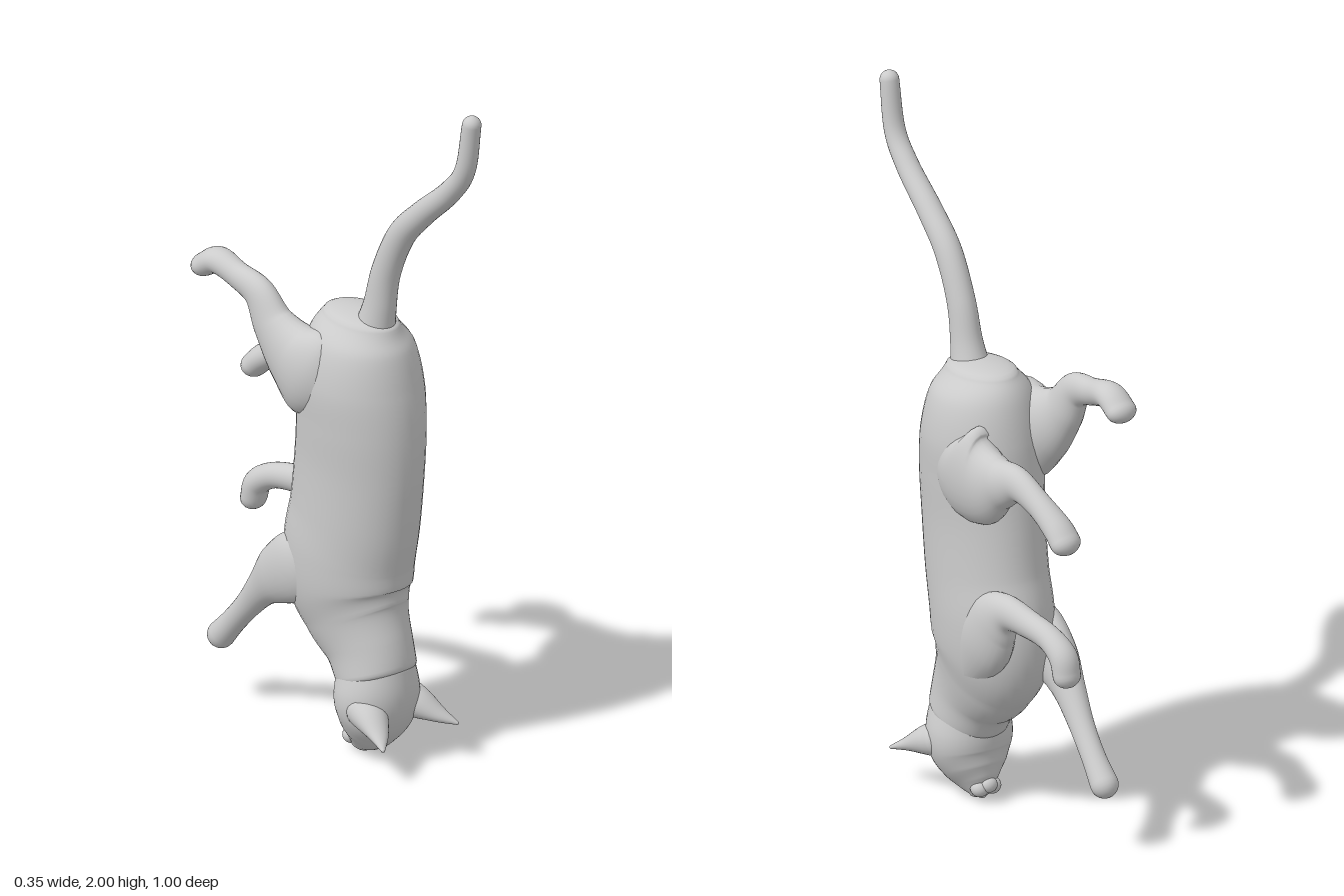
import * as THREE from 'three';

const material = new THREE.MeshStandardMaterial({ color: 0xcccccc });

// Smooth elliptical sweep. Rows are [x, y, z, halfWidth, halfDepth]; the width axis
// stays close to x. Both ends are closed by domes of the given relative length.
function sweep(rows, { steps = 48, sides = 28, startCap = 1, endCap = 1 } = {}) {
  const path = new THREE.CatmullRomCurve3(rows.map(r => new THREE.Vector3(r[0], r[1], r[2])), false, 'catmullrom');
  const size = new THREE.CatmullRomCurve3(rows.map(r => new THREE.Vector3(r[3], r[4] ?? r[3], 0)), false, 'catmullrom');
  const pos = [], index = [];
  let rings = 0;
  const ring = (t, dome, dir, len) => {
    const T = path.getTangent(t), c = path.getPoint(t), s = size.getPoint(t);
    const N = new THREE.Vector3(1, 0, 0).addScaledVector(T, -T.x).normalize();
    const B = T.clone().cross(N);
    const k = Math.max(Math.cos(dome), 0.001);
    c.addScaledVector(T, dir * Math.sin(dome) * Math.min(s.x, s.y) * len);
    for (let j = 0; j < sides; j++) {
      const a = j / sides * Math.PI * 2;
      const p = c.clone().addScaledVector(N, s.x * k * Math.cos(a)).addScaledVector(B, s.y * k * Math.sin(a));
      pos.push(p.x, p.y, p.z);
    }
    rings++;
  };
  for (let k = 6; k > 0; k--) ring(0, k / 6 * Math.PI / 2, -1, startCap);
  for (let i = 0; i <= steps; i++) ring(i / steps, 0, 0, 0);
  for (let k = 1; k <= 6; k++) ring(1, k / 6 * Math.PI / 2, 1, endCap);
  for (let i = 0; i < rings - 1; i++) {
    for (let j = 0; j < sides; j++) {
      const a = i * sides + j, b = i * sides + (j + 1) % sides;
      index.push(a, b, a + sides, b, b + sides, a + sides);
    }
  }
  const g = new THREE.BufferGeometry();
  g.setAttribute('position', new THREE.Float32BufferAttribute(pos, 3));
  g.setIndex(index);
  g.computeVertexNormals();
  return g;
}

export function createModel() {
  const cat = new THREE.Group();
  cat.name = 'cat';
  const add = (name, geometry, parent = cat) => {
    const mesh = new THREE.Mesh(geometry, material);
    mesh.name = name;
    parent.add(mesh);
    return mesh;
  };

  // Torso and neck: rows of [y, back z, belly z, half width]
  const torso = [
    [1.275, 0.165, -0.08, 0.085], [1.21, 0.198, -0.12, 0.135], [1.1, 0.225, -0.145, 0.158],
    [0.98, 0.24, -0.155, 0.155], [0.85, 0.238, -0.168, 0.148], [0.7, 0.222, -0.185, 0.148],
    [0.58, 0.2, -0.21, 0.15], [0.48, 0.197, -0.2, 0.143], [0.4, 0.2, -0.145, 0.122],
    [0.32, 0.21, -0.065, 0.108], [0.25, 0.22, -0.02, 0.108],
  ].map(([y, b, f, w]) => [0, y, (b + f) / 2, w, (b - f) / 2]);
  add('torso', sweep(torso, { steps: 90, sides: 40, startCap: 0.3, endCap: 0.3 }));

  // Head, tapering down to the muzzle
  const head = new THREE.Group();
  head.name = 'head';
  cat.add(head);
  add('skull', sweep([
    [0, 0.28, 0.1, 0.1, 0.11], [0, 0.2, 0.103, 0.12, 0.113], [0, 0.14, 0.095, 0.116, 0.105],
    [0, 0.09, 0.076, 0.09, 0.086], [0, 0.055, 0.058, 0.058, 0.064], [0, 0.028, 0.042, 0.034, 0.036],
  ], { sides: 36, startCap: 0.3, endCap: 0.5 }), head);

  const ball = (name, x, y, z, sx, sy, sz) => {
    const m = add(name, new THREE.SphereGeometry(1, 20, 14), head);
    m.position.set(x, y, z);
    m.scale.set(sx, sy, sz);
  };
  ball('nose', 0, 0.018, 0.042, 0.014, 0.012, 0.014);
  ball('chin', 0, 0.055, 0.01, 0.025, 0.022, 0.02);
  for (const s of [1, -1]) {
    const side = s > 0 ? 'left' : 'right';
    ball(side + 'Cheek', s * 0.02, 0.045, 0.025, 0.026, 0.024, 0.026);
    ball(side + 'Eye', s * 0.05, 0.066, 0.088, 0.017, 0.015, 0.017);
    add(side + 'Ear', sweep([
      [s * 0.075, 0.165, 0.14, 0.055, 0.05], [s * 0.09, 0.15, 0.18, 0.046, 0.04],
      [s * 0.112, 0.128, 0.228, 0.028, 0.02], [s * 0.138, 0.108, 0.272, 0.006, 0.005],
    ], { steps: 20 }), head);
  }

  // Tail, curving up and back
  add('tail', sweep([
    [0, 1.2, 0.08, 0.065, 0.07], [0, 1.32, 0.112, 0.044, 0.05], [0, 1.44, 0.14, 0.038, 0.043],
    [0, 1.565, 0.2, 0.037, 0.04], [0, 1.655, 0.285, 0.035, 0.036], [0, 1.75, 0.39, 0.032, 0.032],
    [0, 1.835, 0.45, 0.03, 0.028], [0, 1.974, 0.475, 0.027, 0.026],
  ], { steps: 70, sides: 24 }));

  // Legs, each in its own pose: hip or shoulder to paw
  const legs = {
    leftHindLeg: [
      [0.085, 1.08, 0.03, 0.06, 0.09], [0.095, 1.04, -0.03, 0.076, 0.145], [0.1, 1.025, -0.11, 0.068, 0.13],
      [0.1, 1.045, -0.19, 0.05, 0.075], [0.097, 1.065, -0.265, 0.038, 0.05], [0.09, 1.035, -0.35, 0.035, 0.038],
      [0.08, 0.99, -0.42, 0.042, 0.037], [0.077, 0.957, -0.456, 0.045, 0.035],
    ],
    rightHindLeg: [
      [-0.085, 1.08, 0.02, 0.06, 0.09], [-0.1, 1.11, -0.04, 0.072, 0.14], [-0.1, 1.15, -0.12, 0.064, 0.105],
      [-0.105, 1.21, -0.19, 0.048, 0.07], [-0.108, 1.285, -0.245, 0.037, 0.05], [-0.106, 1.312, -0.33, 0.034, 0.038],
      [-0.103, 1.33, -0.41, 0.042, 0.037], [-0.103, 1.303, -0.463, 0.045, 0.033],
    ],
    leftFrontLeg: [
      [0.085, 0.46, -0.03, 0.05, 0.08], [0.092, 0.55, -0.1, 0.056, 0.1], [0.095, 0.625, -0.155, 0.05, 0.085],
      [0.095, 0.667, -0.215, 0.04, 0.052], [0.088, 0.664, -0.3, 0.035, 0.04], [0.08, 0.65, -0.385, 0.035, 0.036],
      [0.075, 0.615, -0.442, 0.04, 0.037], [0.075, 0.565, -0.46, 0.04, 0.034],
    ],
    rightFrontLeg: [
      [-0.085, 0.57, -0.04, 0.05, 0.08], [-0.09, 0.52, -0.11, 0.056, 0.1], [-0.088, 0.47, -0.185, 0.052, 0.085],
      [-0.08, 0.41, -0.255, 0.042, 0.053], [-0.07, 0.335, -0.325, 0.034, 0.038], [-0.063, 0.265, -0.39, 0.033, 0.035],
      [-0.06, 0.205, -0.445, 0.039, 0.039],
    ],
  };
  for (const [name, rows] of Object.entries(legs)) add(name, sweep(rows, { steps: 60, sides: 26 }));

  return cat;
}
